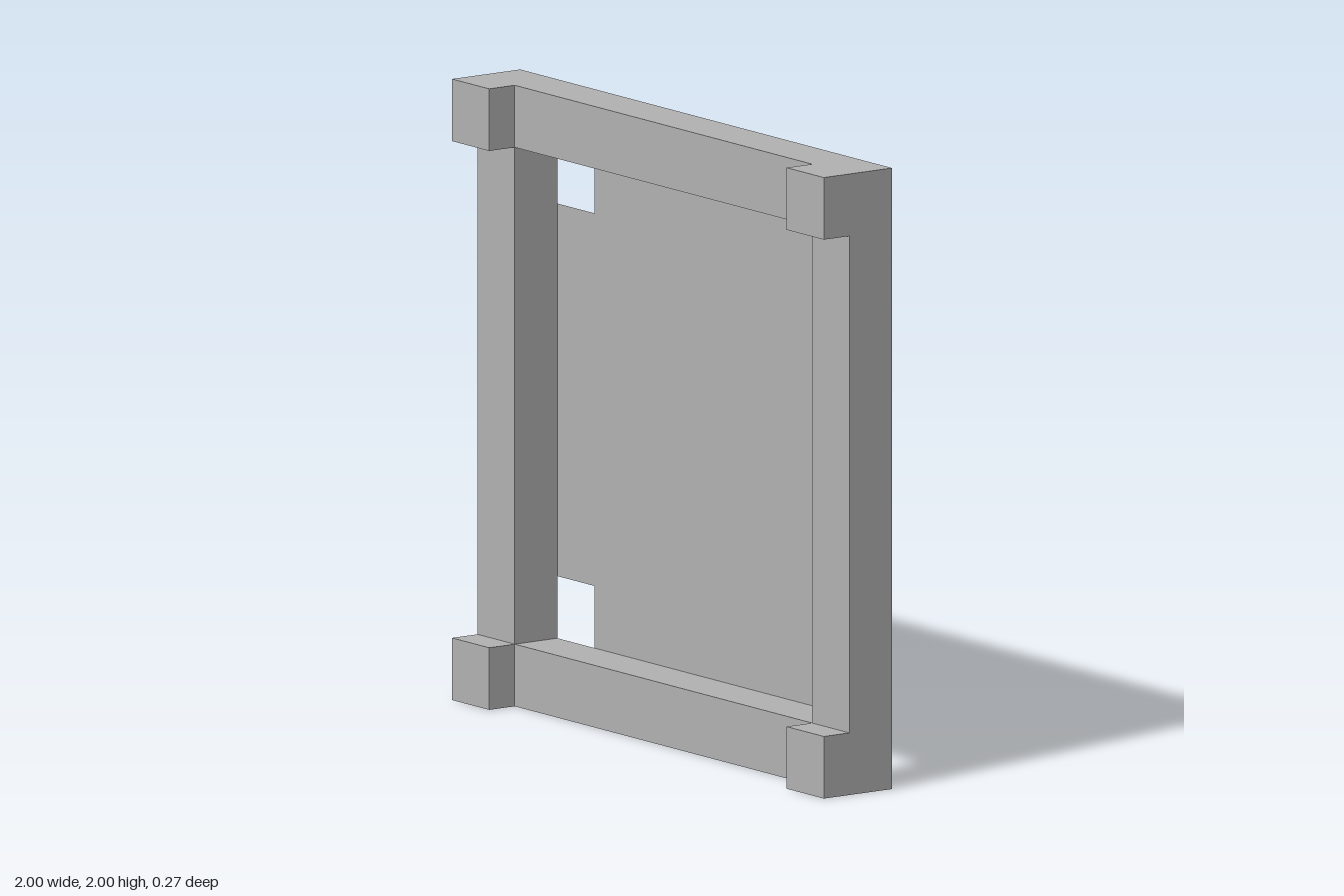
import * as THREE from 'three';

const BACK = -0.1333;       // rear plane
const RAIL_DEPTH = 0.1667;
const BLOCK_DEPTH = 0.2667;
const BAR = 0.2;            // width of frame bars and corner blocks
const INNER = 0.8;          // half size of the opening

export function createModel() {
  const group = new THREE.Group();
  const grey = new THREE.MeshStandardMaterial({ color: 0xb3b3b3 });
  grey.name = 'grey';
  grey.side = THREE.DoubleSide;

  const add = (name, geometry, x, y, z) => {
    const mesh = new THREE.Mesh(geometry, grey);
    mesh.name = name;
    mesh.position.set(x, y, z);
    group.add(mesh);
  };

  const railZ = BACK + RAIL_DEPTH / 2;
  const blockZ = BACK + BLOCK_DEPTH / 2;
  const post = new THREE.BoxGeometry(BAR, 2 * INNER, RAIL_DEPTH);
  const rail = new THREE.BoxGeometry(2 * INNER, BAR, RAIL_DEPTH);
  const block = new THREE.BoxGeometry(BAR, BAR, BLOCK_DEPTH);

  // Frame bars and the deeper corner blocks
  for (const s of [-1, 1]) {
    add(s > 0 ? 'leftPost' : 'rightPost', post, s * 0.9, 1, railZ);
    add(s > 0 ? 'topRail' : 'bottomRail', rail, 0, 1 + s * 0.9, railZ);
    for (const t of [-1, 1]) add('cornerBlock', block, s * 0.9, 1 + t * 0.9, blockZ);
  }

  // Thin rear panel: a square with a square notch cut from each corner
  const a = INNER, b = INNER - 0.2;
  const outline = [
    [-b, -a], [b, -a], [b, -b], [a, -b], [a, b], [b, b],
    [b, a], [-b, a], [-b, b], [-a, b], [-a, -b], [-b, -b],
  ].map(([x, y]) => new THREE.Vector2(x, y));
  add('backPanel', new THREE.ShapeGeometry(new THREE.Shape(outline)), 0, 1, BACK);

  return group;
}
